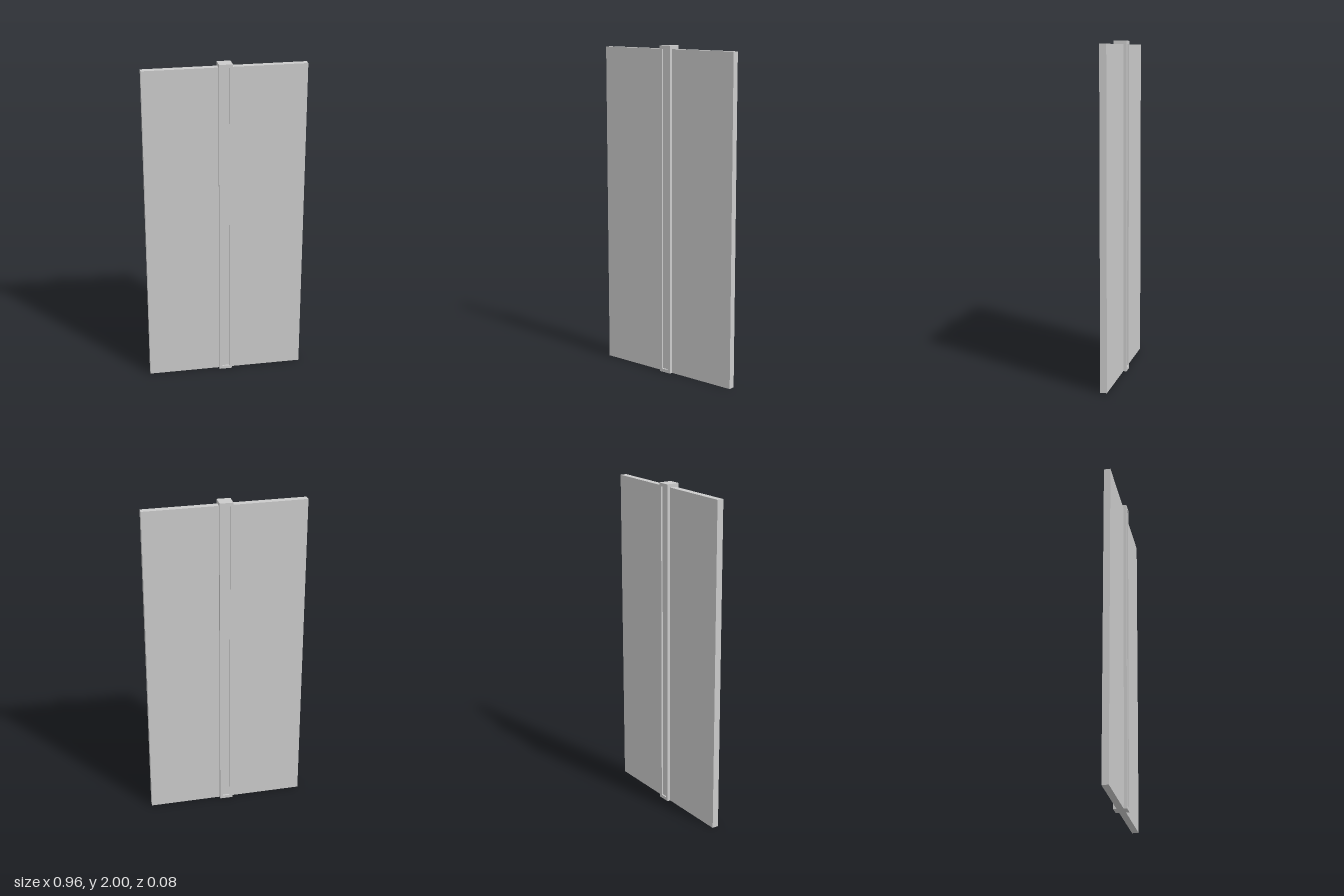
import * as THREE from 'three';

const material = new THREE.MeshStandardMaterial({ color: 0xcccccc, flatShading: true });

// Box placed by its centre in x and z and its lower end in y
function box(name, w, h, d, x, y, z) {
  const mesh = new THREE.Mesh(new THREE.BoxGeometry(w, h, d), material);
  mesh.name = name;
  mesh.position.set(x, y + h / 2, z);
  return mesh;
}

export function createModel() {
  const model = new THREE.Group();
  model.name = 'wallPanelWithPost';

  const height = 2, width = 0.08, cap = 0.02;
  const slot = 0.044, depth = 0.01;
  const inner = height - 2 * cap;

  // Square post: a core, four corner rails and two caps leave a recess on each side
  const post = new THREE.Group();
  post.name = 'post';
  const core = width - 2 * depth;
  post.add(box('postCore', core, inner, core, 0, cap, 0));
  const rail = (width - slot) / 2;
  const offset = (width - rail) / 2;
  for (const sx of [-1, 1]) {
    for (const sz of [-1, 1]) {
      post.add(box('cornerRail', rail, inner, rail, sx * offset, cap, sz * offset));
    }
  }
  post.add(box('bottomCap', width, cap, width, 0, 0, 0));
  post.add(box('topCap', width, cap, width, 0, height - cap, 0));
  model.add(post);

  // Thin wall panels seated in the side recesses
  const start = core / 2, end = 0.48;
  for (const [name, s] of [['leftPanel', 1], ['rightPanel', -1]]) {
    model.add(box(name, end - start, 1.98, 0.04, s * (start + end) / 2, 0, 0));
  }
  return model;
}
